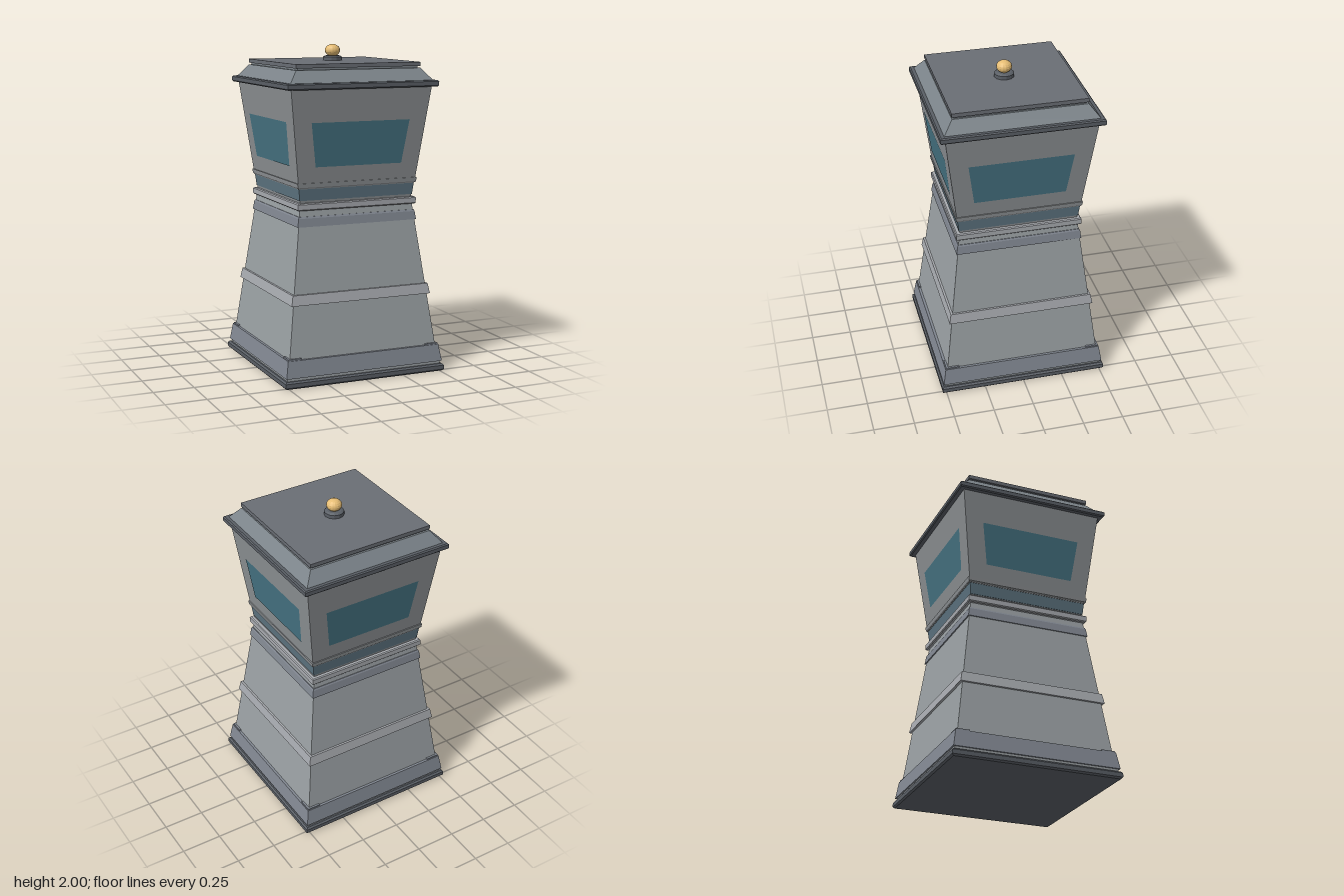
import * as THREE from 'three';

const mat = (color) => new THREE.MeshStandardMaterial({ color, flatShading: true });

// Square tower section swept through [half width, y] points, bottom to top, with closed ends
function squareSection(name, material, profile) {
  const ends = [[0, profile[0][1]], ...profile, [0, profile[profile.length - 1][1]]];
  const points = ends.map(([half, y]) => new THREE.Vector2(half * Math.SQRT2, y));
  const geometry = new THREE.LatheGeometry(points, 4, Math.PI / 4);
  const mesh = new THREE.Mesh(geometry, material);
  mesh.name = name;
  return mesh;
}

// Square slab with chamfered top and bottom edges
function slab(name, material, half, y0, y1, c) {
  return squareSection(name, material, [[half - c, y0], [half, y0 + c], [half, y1 - c], [half - c, y1]]);
}

export function createModel() {
  const model = new THREE.Group();
  model.name = 'tower';
  const stone = mat(0x9ba1a4);
  const upperStone = mat(0x8f9396);
  const lightTrim = mat(0xa8abb0);
  const greyTrim = mat(0x828892);
  const dark = mat(0x5a5f66);
  const roofGrey = mat(0x7c848a);
  const plateGrey = mat(0x6a6e75);
  const blueGrey = mat(0x5f7683);
  const glass = mat(0x477584);
  const gold = mat(0xe6bd74);

  model.add(
    // Base
    slab('plinth', dark, 0.525, 0, 0.045, 0.01),
    squareSection('plinthStep', stone, [[0.505, 0.045], [0.505, 0.065]]),
    squareSection('baseSkirt', greyTrim, [[0.515, 0.062], [0.498, 0.165]]),
    // Lower body and its bands
    squareSection('lowerBody', stone, [[0.483, 0.16], [0.37, 1.035]]),
    squareSection('middleBand', lightTrim, [[0.457, 0.483], [0.446, 0.545]]),
    squareSection('neckBand', greyTrim, [[0.39, 0.94], [0.383, 0.99], [0.378, 1.0]]),
    // Waist
    slab('waistRing', lightTrim, 0.388, 1.037, 1.08, 0.006),
    squareSection('waistStep', upperStone, [[0.365, 1.08], [0.367, 1.095]]),
    squareSection('blueBand', blueGrey, [[0.37, 1.095], [0.378, 1.165]]),
    squareSection('upperRing', upperStone, [[0.382, 1.168], [0.388, 1.175], [0.391, 1.2]]),
    // Upper body
    squareSection('upperBody', upperStone, [[0.38, 1.165], [0.455, 1.76]]),
    // Roof
    slab('eave', dark, 0.487, 1.755, 1.793, 0.007),
    squareSection('roofSlope', roofGrey, [[0.46, 1.793], [0.402, 1.865]]),
    squareSection('roofStep', roofGrey, [[0.39, 1.865], [0.39, 1.878]]),
    squareSection('roofPlate', plateGrey, [[0.403, 1.876], [0.403, 1.9]])
  );

  // Raised corner pieces on the base skirt
  for (const sx of [-1, 1]) for (const sz of [-1, 1]) {
    const corner = new THREE.Mesh(new THREE.BoxGeometry(0.083, 0.02, 0.083), greyTrim);
    corner.name = 'skirtCorner';
    corner.position.set(sx * 0.452, 0.164, sz * 0.452);
    model.add(corner);
  }

  // Tapered window on each sloping face
  const pane = new THREE.PlaneGeometry(1, 1);
  const pos = pane.attributes.position;
  for (let i = 0; i < pos.count; i++) {
    const top = pos.getY(i) > 0;
    const y = top ? 1.56 : 1.295;
    const face = 0.38 + (y - 1.165) * (0.075 / 0.595);
    pos.setXYZ(i, Math.sign(pos.getX(i)) * (top ? 0.318 : 0.28), y, face + 0.003);
  }
  pane.computeVertexNormals();
  for (let i = 0; i < 4; i++) {
    const window = new THREE.Mesh(pane, glass);
    window.name = 'window';
    window.rotation.y = i * Math.PI / 2;
    model.add(window);
  }

  // Finial
  const collar = new THREE.Mesh(new THREE.LatheGeometry(
    [[0, 1.9], [0.06, 1.9], [0.06, 1.922], [0.045, 1.93], [0, 1.93]].map(([r, y]) => new THREE.Vector2(r, y)), 12), dark);
  collar.name = 'finialCollar';
  const knob = new THREE.Mesh(new THREE.SphereGeometry(0.047, 16, 10), gold);
  knob.name = 'finialKnob';
  knob.scale.y = 0.8;
  knob.position.y = 1.9624;
  model.add(collar, knob);

  return model;
}
